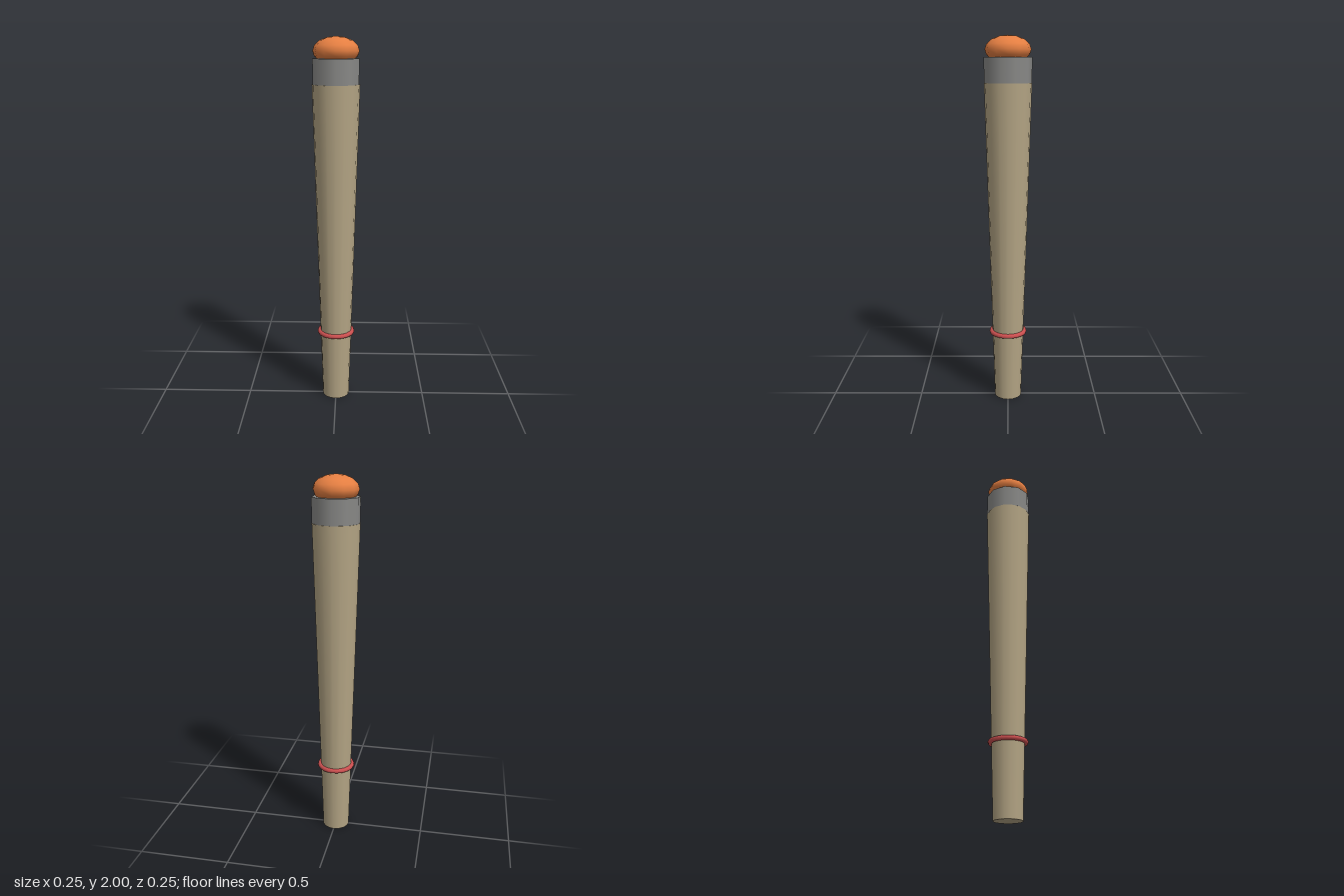
import * as THREE from 'three';

export function createModel() {
  const group = new THREE.Group();
  const mat = (name, color) => {
    const m = new THREE.MeshStandardMaterial({ color });
    m.name = name;
    return m;
  };
  const tan = mat('tan', 0xb3a484);
  const grey = mat('grey', 0x888886);
  const orange = mat('orange', 0xe57f42);
  const red = mat('red', 0xcc5050);

  const add = (name, geometry, material, y) => {
    const mesh = new THREE.Mesh(geometry, material);
    mesh.name = name;
    mesh.position.y = y;
    group.add(mesh);
    return mesh;
  };

  // Long shaft, widening towards the top
  add('shaft', new THREE.CylinderGeometry(0.125, 0.075, 1.76, 16), tan, 0.88);

  // Metal collar with ten sides
  add('collar', new THREE.CylinderGeometry(0.125, 0.125, 0.13, 10), grey, 1.825);

  // Flattened ball seated in the collar
  add('cap', new THREE.SphereGeometry(0.12, 12, 8).scale(1, 0.6, 1), orange, 1.928);

  // Thin ring around the grip
  add('ring', new THREE.TorusGeometry(0.091, 0.013, 8, 24).rotateX(Math.PI / 2), red, 0.39);

  return group;
}
